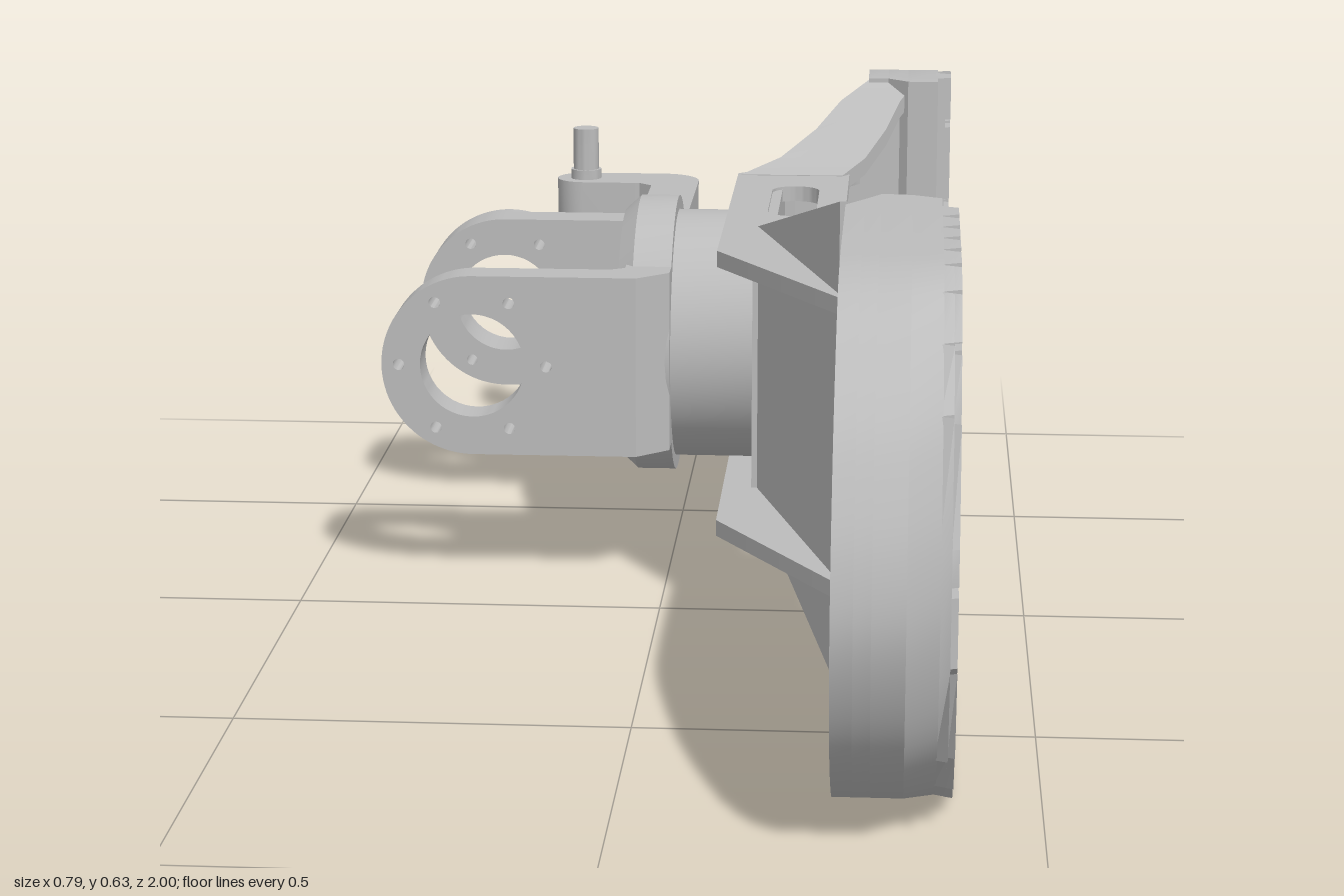
import * as THREE from 'three';
import { mergeGeometries, toCreasedNormals } from 'three/addons/utils/BufferGeometryUtils.js';

const CY = 0.317; // mid height
const HUB = -0.327; // z of the hub axis

export function createModel() {
  const group = new THREE.Group();
  const grey = new THREE.MeshStandardMaterial({ color: 0xbcbcbc });
  grey.name = 'light grey';
  const add = (name, ...geos) => {
    const list = geos.map((g) => toCreasedNormals(g.index ? g.toNonIndexed() : g, 0.6));
    const mesh = new THREE.Mesh(list.length > 1 ? mergeGeometries(list) : list[0], grey);
    mesh.name = name;
    group.add(mesh);
  };
  const lerp = THREE.MathUtils.lerp;

  // rounded slot or round hole in the plane of the sole
  const slot = (z0, z1, y, r) => {
    const p = new THREE.Path();
    p.absarc(-z0 - r, y, r, -Math.PI / 2, Math.PI / 2);
    p.absarc(-z1 + r, y, r, Math.PI / 2, Math.PI * 1.5);
    return p;
  };
  const round = (z, y, r) => new THREE.Path().absarc(-z, y, r, 0, Math.PI * 2);
  const circle = (r) => Array.from({ length: 48 }, (_, i) => {
    const a = (i / 48) * Math.PI * 2;
    return [HUB + r * Math.cos(a), CY + r * Math.sin(a)];
  });
  // outline in z,y thickened along x, optionally reshaped by a rule
  const slab = (pts, x0, x1, holes = [], warp) => {
    const s = new THREE.Shape(pts.map(([z, y]) => new THREE.Vector2(-z, y)));
    s.holes = holes;
    const g = new THREE.ExtrudeGeometry(s, { depth: x1 - x0, bevelEnabled: false, curveSegments: 14 });
    g.rotateY(Math.PI / 2).translate(x0, 0, 0);
    if (warp) {
      const p = g.attributes.position;
      for (let i = 0; i < p.count; i++) p.setXYZ(i, ...warp(p.getX(i), p.getY(i), p.getZ(i)));
      g.computeVertexNormals();
    }
    return g;
  };
  // outline in x,z thickened along y
  const flat = (pts, y0, y1, holes = []) => {
    const s = new THREE.Shape(pts.map(([x, z]) => new THREE.Vector2(x, -z)));
    s.holes = holes;
    const g = new THREE.ExtrudeGeometry(s, { depth: y1 - y0, bevelEnabled: false, curveSegments: 14 });
    return g.rotateX(-Math.PI / 2).translate(0, y0, 0);
  };

  // smooth outlines of the two pads
  const curve = (pts) => new THREE.CatmullRomCurve3(pts.map(([z, y]) => new THREE.Vector3(z, y, 0)))
    .getPoints(40).map((v) => [v.x, v.y]);
  const toe = [[0.27, 0], ...curve([[0.68, 0], [0.76, 0.012], [0.84, 0.05], [0.93, 0.12], [0.975, 0.19], [1, 0.28],
    [0.99, 0.36], [0.96, 0.43], [0.91, 0.505], [0.78, 0.605], [0.7, 0.628], [0.6, 0.634]]), [0.27, 0.634]];
  const heel = [[-0.69, 0], [-0.69, 0.634], ...curve([[-0.78, 0.634], [-0.86, 0.612], [-0.93, 0.56], [-0.975, 0.46],
    [-1, 0.317], [-0.975, 0.17], [-0.93, 0.075], [-0.86, 0.022], [-0.78, 0]])];

  // front pad in layers: x start, x end, rear edge at start and end
  const inset = (z) => z - 0.1 * Math.max(0, z - 0.6);
  const toeSlots = [[0.1, 0.78], [0.245, 0.9], [0.39, 0.88], [0.535, 0.76]].map(([y, z]) => slot(z, 0.42, y, 0.03));
  add('frontPad', ...[[0.255, 0.28, 0.34, 0.3], [0.28, 0.3, 0.3, 0.265], [0.3, 0.338, 0.265, 0.27], [0.338, 0.375, 0.27, 0.29]]
    .map(([x0, x1, a, b], i) => slab(toe, x0, x1, i === 0 ? toeSlots : [], (x, y, z) => {
      const t = (x - x0) / (x1 - x0);
      if (z < 0.28) return [x, y, lerp(a, b, t)];
      return [x, y, i === 3 ? lerp(z, inset(z), t) : z];
    })));
  // rear pad with short recesses continuing the gaps between the arms
  const gaps = [0.18, CY, 0.455];
  add('rearPad', slab(heel, 0.27, 0.3, gaps.map((y) => slot(-0.695, -0.79, y, 0.036))),
    slab(heel, 0.3, 0.33, [], (x, y, z) => [x, y, z > -0.7 && x > 0.32 ? -0.66 : z]),
    slab(heel, 0.33, 0.375, [], (x, y, z) => [x, y, z > -0.7 ? -0.66 : z]));

  // tread block between two z lines, with its y range given at each line
  const block = (x0, x1, za, zb, fa, fb, gapLow, gapHigh, dz) => {
    const g = new THREE.BoxGeometry(1, 1, 1);
    const p = g.attributes.position;
    for (let k = 0; k < p.count; k++) {
      const top = p.getX(k) > 0, far = p.getZ(k) > 0, up = p.getY(k) > 0;
      const [low, high] = far ? fb : fa;
      const limit = (high - low) / 2, d = top ? dz[1] : dz[0];
      p.setXYZ(k, top ? x1 : x0, up ? high - Math.min(gapHigh, limit) : low + Math.min(gapLow, limit), far ? zb - d : za + d);
    }
    g.computeVertexNormals();
    return g;
  };
  const span = (pts, z) => {
    const ys = [];
    pts.forEach(([z0, y0], i) => {
      const [z1, y1] = pts[(i + 1) % pts.length];
      if ((z0 <= z) !== (z1 <= z)) ys.push(lerp(y0, y1, (z - z0) / (z1 - z0)));
    });
    return ys.length ? [Math.min(...ys), Math.max(...ys)] : [CY, CY];
  };
  // ridges across the pad, topped by blocks, all clipped to the pad outline
  const rows = [0, 0.07, 0.193, CY, 0.441, 0.564, 0.634];
  const treads = (name, outline, start, pitch, count) => {
    const blocks = [];
    for (let i = 0; i < count; i++) {
      const za = start + i * pitch, zb = za + pitch;
      const sa = span(outline, za), sb = span(outline, zb);
      blocks.push(block(0.372, 0.387, za, zb, sa, sb, 0, 0, [0.001, 0.008]));
      for (let r = 0; r < rows.length - 1; r++) {
        const fit = (s) => [THREE.MathUtils.clamp(rows[r], ...s), THREE.MathUtils.clamp(rows[r + 1], ...s)];
        const fa = fit(sa), fb = fit(sb);
        if (fa[1] - fa[0] < 0.015 && fb[1] - fb[0] < 0.015) continue;
        blocks.push(block(0.386, 0.395, za, zb, fa, fb, r > 0 ? 0.006 : 0, r < 5 ? 0.006 : 0, [0.008, 0.012]));
      }
    }
    add(name, ...blocks);
  };
  treads('frontTreads', toe.map(([z, y]) => [inset(z), y]), 0.34, 0.0677, 9);
  treads('rearTreads', heel, -0.994, 0.0604, 5);

  // floor between the side rails
  const bolts = [[-0.2, CY], [-0.39, 0.427], [-0.39, 0.207]];
  const bores = () => [round(HUB, CY, 0.075), ...bolts.map(([z, y]) => round(z, y, 0.021))];
  add('neckFloor', slab([[-0.53, 0.125], [-0.12, 0.125], [-0.12, 0.51], [-0.53, 0.51]], 0.12, 0.15, bores()));

  // sloped, flaring plate joining the floor to the front pad
  add('frontSlope', slab([[-0.13, 0.122], [0.31, 0.002], [0.31, 0.632], [-0.13, 0.512]], 0, 1,
    [slot(0.252, -0.115, CY, 0.066)],
    (x, y, z) => [lerp(0.125 + 0.279 * (z + 0.13), 0.155 + 0.36 * (z + 0.13), x), y, z]));

  // rear arms: a slotted sloping plate with deeper flaring walls at both sides
  const flare = [[-0.515, 0.198], [-0.57, 0.215], [-0.62, 0.25], [-0.655, 0.288], [-0.7, 0.317]];
  const edge = (side, less) => flare.map(([z, h]) => [z, CY + side * (h - less)]);
  const slope = (depth0, depth1) => (x, y, z) => {
    const t = (-0.515 - z) / 0.185;
    return [lerp(0.085 + 0.19 * t, lerp(depth0, depth1, t), x), y, z];
  };
  add('rearArms', slab([...edge(1, 0.01), ...edge(-1, 0.01).reverse()], 0, 1,
    gaps.map((y) => slot(y === CY ? -0.52 : -0.55, -0.685, y, 0.04)), slope(0.165, 0.345)),
  ...[1, -1].map((s) => slab([...edge(s, 0), ...edge(s, 0.025).reverse()], 0, 1, [], slope(0.235, 0.345))));

  // slotted side rails
  const rail = [[0.08, 0.05], [0.25, 0.335], [0.29, 0.27], [0.245, 0.03], [0.245, -0.55],
    [0.26, -0.575], [0.13, -0.575], [0.08, -0.53]];
  for (const [name, y] of [['lowerRail', 0.12], ['upperRail', 0.492]]) {
    const h = new THREE.Path();
    h.absarc(0.17, 0.395, 0.034, 0, Math.PI);
    h.absarc(0.17, 0.235, 0.034, Math.PI, Math.PI * 2);
    add(name, flat(rail, y, y + 0.022, [h]));
  }

  // hub and chamfered collar
  add('hub', slab(circle(0.178), 0, 0.122, bores()));
  add('collar', slab(circle(0.198), -0.05, 0.004, bores()),
    slab(circle(0.198), -0.072, -0.05, bores(), (x, y, z) => {
      const k = x < -0.06 && Math.hypot(y - CY, z - HUB) > 0.18 ? 0.9 : 1;
      return [x, CY + (y - CY) * k, HUB + (z - HUB) * k];
    }));
  add('stopTab', new THREE.BoxGeometry(0.035, 0.075, 0.07).translate(0.02, CY, -0.537));

  // fork arms with bearing holes
  const armShape = (right) => {
    const s = new THREE.Shape();
    s.absarc(-0.268, CY, 0.127, Math.PI / 2, Math.PI * 1.5);
    if (right) { s.lineTo(right, CY - 0.127); s.lineTo(right, CY + 0.127); } else s.absarc(-0.268, CY, 0.127, -Math.PI / 2, Math.PI / 2);
    const hole = (x, y, r) => s.holes.push(new THREE.Path().absarc(x, y, r, 0, Math.PI * 2));
    hole(-0.268, CY, 0.073);
    for (let i = 0; i < 6; i++) {
      const a = (i * Math.PI) / 3;
      hole(-0.268 + 0.103 * Math.cos(a), CY + 0.103 * Math.sin(a), 0.008);
    }
    return s;
  };
  const plate = (s, z0, z1) => new THREE.ExtrudeGeometry(s, { depth: z1 - z0, bevelEnabled: false, curveSegments: 24 }).translate(0, 0, z0);
  const y0 = CY - 0.127, y1 = CY + 0.127;
  add('frontForkArm', plate(armShape(-0.04), -0.152, -0.094),
    flat([[-0.04, -0.094], [0.004, -0.135], [0.004, -0.2], [-0.06, -0.2], [-0.06, -0.165], [-0.08, -0.152], [-0.04, -0.152]], y0, y1));
  add('rearForkArm', plate(armShape(-0.04), -0.568, -0.506),
    flat([[-0.04, -0.568], [0.004, -0.568], [0.004, -0.455], [-0.06, -0.455], [-0.06, -0.49], [-0.08, -0.506], [-0.04, -0.506]], y0, y1));
  add('bearingCap', plate(armShape(0), -0.587, -0.568));

  // two hooked brackets, each with a pin, joined by a web with a round notch
  const arc = (x, z, r, a, b) => Array.from({ length: 13 }, (_, i) => {
    const t = lerp(a, b, i / 12);
    return [x + r * Math.cos(t), z + r * Math.sin(t)];
  });
  const hook = [[-0.07, -0.5], [0.002, -0.5], ...arc(-0.058, -0.845, 0.06, 0, -Math.PI / 2),
    ...arc(-0.18, -0.862, 0.043, -Math.PI / 2, -Math.PI * 1.5), [-0.09, -0.819], [-0.07, -0.8]];
  for (const [name, s] of [['upper', 1], ['lower', -1]]) {
    const a = CY + s * 0.068, b = CY + s * 0.127;
    add(name + 'Hook', flat(hook, Math.min(a, b), Math.max(a, b)));
    const cyl = (r, from, to) => new THREE.CylinderGeometry(r, r, to - from, 24).translate(-0.178, CY + (s * (from + to)) / 2, -0.862);
    add(name + 'Pin', cyl(0.024, 0.12, 0.142), cyl(0.02, 0.14, 0.207));
  }
  add('hookWeb', slab([[-0.53, y0 + 0.03], [-0.66, y0 + 0.03], ...arc(-0.66, CY, 0.07, -Math.PI / 2, Math.PI / 2)
    .map(([z, y]) => [z, y]), [-0.66, y1 - 0.03], [-0.53, y1 - 0.03]], -0.069, 0.001));
  return group;
}
